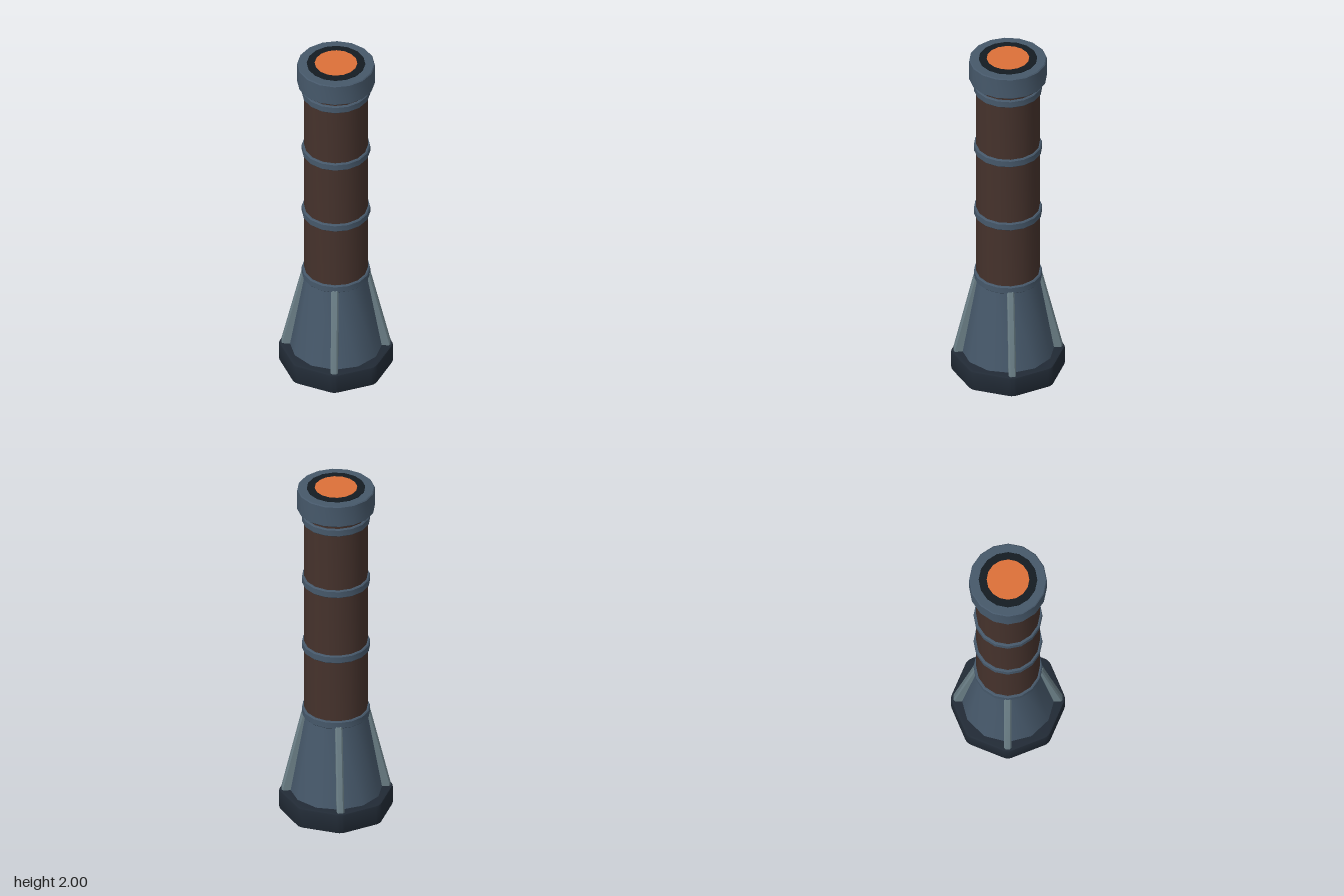
import * as THREE from 'three';
import { toCreasedNormals } from 'three/addons/utils/BufferGeometryUtils.js';

const material = (color) => new THREE.MeshStandardMaterial({ color });
const steel = material(0x46586a);
const darkSteel = material(0x212a35);
const paleSteel = material(0x6c8088);
const brown = material(0x45322c);
const black = material(0x141c22);
const orange = material(0xdc7038);

function addMesh(parent, name, geometry, mat) {
  const mesh = new THREE.Mesh(toCreasedNormals(geometry, 0.6), mat);
  mesh.name = name;
  parent.add(mesh);
  return mesh;
}

// Solid round part with small bevels on its top and bottom rims
function drum(rBottom, rTop, y0, y1, sides, bevel) {
  const points = [
    [0, y0], [rBottom - bevel, y0], [rBottom, y0 + bevel],
    [rTop, y1 - bevel], [rTop - bevel, y1], [0, y1],
  ].map(([r, y]) => new THREE.Vector2(r, y));
  return new THREE.LatheGeometry(points, sides);
}

// Octagonal plate with softened corners and bevelled rims
function octagonPlate(radius, height, bevel) {
  const corner = (i) => new THREE.Vector2(Math.cos(i * Math.PI / 4), Math.sin(i * Math.PI / 4)).multiplyScalar(radius - bevel);
  const shape = new THREE.Shape();
  for (let i = 0; i < 8; i++) {
    const c = corner(i);
    const a = c.clone().lerp(corner(i - 1), 0.09);
    const b = c.clone().lerp(corner(i + 1), 0.09);
    if (i === 0) shape.moveTo(a.x, a.y);
    else shape.lineTo(a.x, a.y);
    shape.quadraticCurveTo(c.x, c.y, b.x, b.y);
  }
  shape.closePath();
  const geometry = new THREE.ExtrudeGeometry(shape, {
    depth: height - 2 * bevel, bevelThickness: bevel, bevelSize: bevel, bevelSegments: 2, curveSegments: 3,
  });
  return geometry.translate(0, 0, bevel).rotateX(-Math.PI / 2);
}

// Sloping rib profile, extruded across its width with chamfered edges
function ribGeometry() {
  const shape = new THREE.Shape([[0.235, 0.115], [0.288, 0.115], [0.288, 0.135], [0.18, 0.59], [0.13, 0.59]]
    .map(([x, y]) => new THREE.Vector2(x, y)));
  const bevel = 0.008;
  return new THREE.ExtrudeGeometry(shape, {
    depth: 0.024, bevelThickness: bevel, bevelSize: bevel, bevelSegments: 1,
  }).translate(0, 0, -0.012);
}

export function createModel() {
  const model = new THREE.Group();
  model.name = 'column';

  // Foot and tapered lower body
  addMesh(model, 'basePlate', octagonPlate(0.313, 0.12, 0.01), darkSteel);
  addMesh(model, 'taperedBody', drum(0.255, 0.172, 0.11, 0.6, 12, 0.004), steel);

  // Four ribs around the taper
  const ribs = new THREE.Group();
  ribs.name = 'ribs';
  for (let i = 0; i < 4; i++) addMesh(ribs, 'rib', ribGeometry(), paleSteel).rotation.y = i * Math.PI / 2;
  model.add(ribs);

  // Shaft with its bands
  addMesh(model, 'shaft', drum(0.173, 0.173, 0.59, 1.9, 16, 0.002), brown);
  for (const y of [0.607, 1.018, 1.428, 1.814]) {
    addMesh(model, 'band', drum(0.186, 0.186, y - 0.022, y + 0.022, 16, 0.005), steel);
  }

  // Head with its dark recess and bright disc
  addMesh(model, 'head', drum(0.211, 0.211, 1.866, 1.994, 16, 0.005), steel);
  addMesh(model, 'darkRing', drum(0.159, 0.159, 1.97, 1.998, 16, 0.001), black);
  addMesh(model, 'brightDisc', drum(0.116, 0.116, 1.98, 2, 16, 0.001), orange);

  return model;
}
